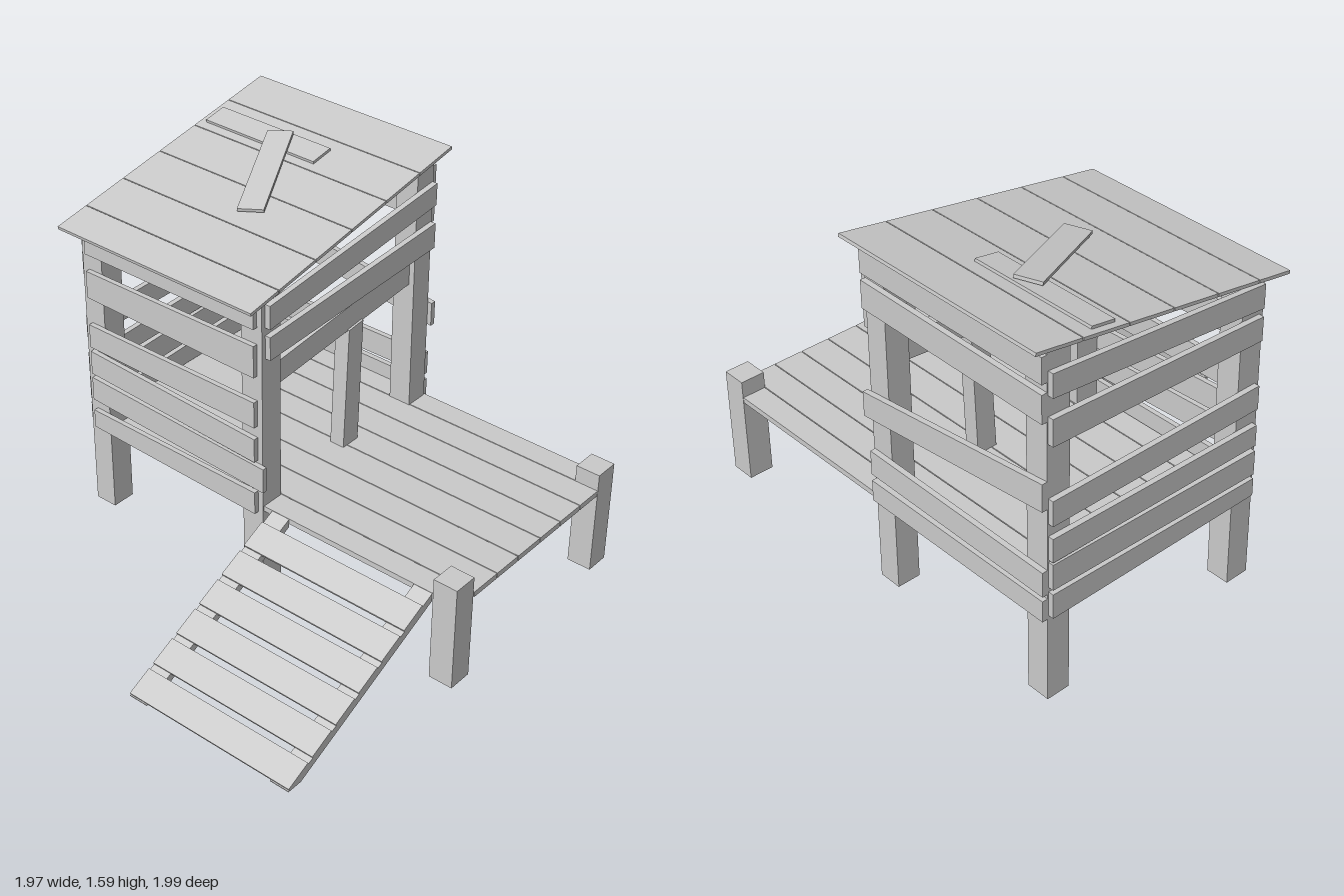
import * as THREE from 'three';

const mat = new THREE.MeshStandardMaterial({ color: 0xcccccc, flatShading: true });

export function createModel() {
  const model = new THREE.Group();

  const add = (name, geo, parent = model) => {
    const mesh = new THREE.Mesh(geo, mat);
    mesh.name = name;
    parent.add(mesh);
    return mesh;
  };
  const group = (name) => {
    const g = new THREE.Group();
    g.name = name;
    model.add(g);
    return g;
  };
  // Box given by its limits on each axis
  const block = (name, [x0, x1], [y0, y1], [z0, z1], parent) => {
    const mesh = add(name, new THREE.BoxGeometry(x1 - x0, y1 - y0, z1 - z0), parent);
    mesh.position.set((x0 + x1) / 2, (y0 + y1) / 2, (z0 + z1) / 2);
    return mesh;
  };
  const prism = (points, depth) => new THREE.ExtrudeGeometry(
    new THREE.Shape(points.map(([a, b]) => new THREE.Vector2(a, b))), { depth, bevelEnabled: false });
  // Uneven board along x: bottom and top height at each end
  const boardX = (name, x0, x1, [lo0, hi0, lo1, hi1], z, depth, parent) => {
    add(name, prism([[x0, lo0], [x1, lo1], [x1, hi1], [x0, hi0]], depth), parent).position.z = z;
  };
  // Uneven board along z, heights listed from the front end to the back end
  const boardZ = (name, zf, zb, [lo0, hi0, lo1, hi1], x, depth, parent) => {
    const mesh = add(name, prism([[-zf, lo0], [-zb, lo1], [-zb, hi1], [-zf, hi0]], depth), parent);
    mesh.rotation.y = Math.PI / 2;
    mesh.position.x = x;
  };

  // Posts of the hut and of the porch
  const posts = group('posts');
  for (const x of [[-0.945, -0.84], [-0.09, 0.015]]) {
    boardZ('hutFrontPost', 0.155, 0.045, [0, 1.37, 0, 1.39], x[0], x[1] - x[0], posts);
    boardZ('hutBackPost', -0.805, -0.91, [0, 1.535, 0, 1.553], x[0], x[1] - x[0], posts);
  }
  block('porchFrontPost', [0.87, 0.98], [0, 0.485], [0.045, 0.155], posts);
  block('porchBackPost', [0.87, 0.98], [0, 0.485], [-0.92, -0.81], posts);

  // Floor boards running through hut and porch
  const floor = group('floor');
  const seams = [0.15, 0.04, -0.11, -0.25, -0.4, -0.54, -0.68, -0.81, -0.92];
  for (let i = 0; i < seams.length - 1; i++) {
    const outer = i === 0 || i === seams.length - 2;
    block('floorBoard', [-0.94, outer ? 0.87 : 0.98], [0.385, 0.41],
      [seams[i + 1] + 0.002, seams[i] - 0.002], floor);
  }

  // Front wall: heights at the -x end, then the +x end
  const frontWall = group('frontWall');
  [
    [1.245, 1.36, 1.25, 1.36], [1.04, 1.165, 1.03, 1.175], [0.8, 0.91, 0.795, 0.915],
    [0.67, 0.78, 0.63, 0.74], [0.54, 0.65, 0.5, 0.615], [0.4, 0.485, 0.375, 0.48],
  ].forEach((h, i) => boardX('frontBoard', -0.91, i === 4 ? 0.035 : -0.01, h, 0.155, 0.022, frontWall));

  // Back wall, with one crooked board
  const backWall = group('backWall');
  [
    [1.41, 1.52, 1.41, 1.52], [1.25, 1.37, 1.26, 1.38], [0.88, 1.0, 0.77, 0.88],
    [0.5, 0.61, 0.51, 0.62], [0.385, 0.48, 0.385, 0.48],
  ].forEach((h, i) => boardX('backBoard', -0.945, i === 2 ? 0.035 : 0.01, h, -0.934, 0.024, backWall));

  // Closed side wall
  const rightWall = group('rightWall');
  [
    [1.25, 1.355, 1.355, 1.455], [1.11, 1.215, 1.155, 1.27], [0.805, 0.91, 0.815, 0.925],
    [0.635, 0.73, 0.655, 0.76], [0.5, 0.61, 0.53, 0.645], [0.4, 0.48, 0.4, 0.51],
  ].forEach((h) => boardZ('rightBoard', 0.135, -0.905, h, -0.969, 0.024, rightWall));

  // Open side wall: boards above a doorway, and a leaning stud
  const leftWall = group('leftWall');
  boardZ('leftBoard', 0.135, -0.905, [1.25, 1.355, 1.355, 1.455], 0.015, 0.025, leftWall);
  boardZ('leftBoard', 0.135, -0.905, [1.11, 1.215, 1.155, 1.27], 0.015, 0.025, leftWall);
  boardZ('doorLintel', 0.045, -0.805, [0.93, 1.035, 1.005, 1.12], -0.06, 0.05, leftWall);
  const stud = add('doorStud', prism([[0.375, 0.41], [0.47, 0.41], [0.49, 0.985], [0.4, 0.975]], 0.07), leftWall);
  stud.rotation.y = Math.PI / 2;
  stud.position.x = -0.07;

  // Sloping roof: its local origin is the front edge, with -z running up the slope
  const roof = group('roof');
  roof.position.set(0, 1.365, 0.245);
  roof.rotation.x = Math.atan(0.172);
  const stretch = Math.hypot(1, 0.172);
  const roofSeams = [0.245, 0.08, -0.135, -0.355, -0.57, -0.785, -0.998].map((z) => (z - 0.245) * stretch);
  for (let i = 0; i < roofSeams.length - 1; i++) {
    block('roofBoard', [-0.985, 0.038], [-0.006, 0.008], [roofSeams[i + 1] + 0.002, roofSeams[i] - 0.002], roof);
  }
  block('flatPatch', [-0.955, -0.37], [0.008, 0.02], [-0.98, -0.87], roof);
  const patch = add('crossedPatch', new THREE.BoxGeometry(0.11, 0.014, 0.53), roof);
  patch.position.set(-0.49, 0.028, -0.715);
  patch.rotation.set(0.018, 0.47, 0, 'YXZ');

  // Ramp: two rails and six slats
  const ramp = group('ramp');
  for (const x of [0.06, 0.775]) {
    const rail = add('rampRail',
      prism([[-0.15, 0.41], [-0.995, 0.004], [-0.995, 0], [-0.925, 0], [-0.15, 0.372]], 0.088), ramp);
    rail.rotation.y = Math.PI / 2;
    rail.position.x = x;
  }
  const slope = Math.atan(0.482);
  for (let i = 0; i < 6; i++) {
    const z = 0.265 + i * 0.1345;
    const slat = add('rampSlat', new THREE.BoxGeometry(0.805, 0.014, 0.122), ramp);
    slat.position.set(0.462, 0.41 - (z - 0.15) * 0.4805 + 0.004, z);
    slat.rotation.x = slope;
  }

  return model;
}
